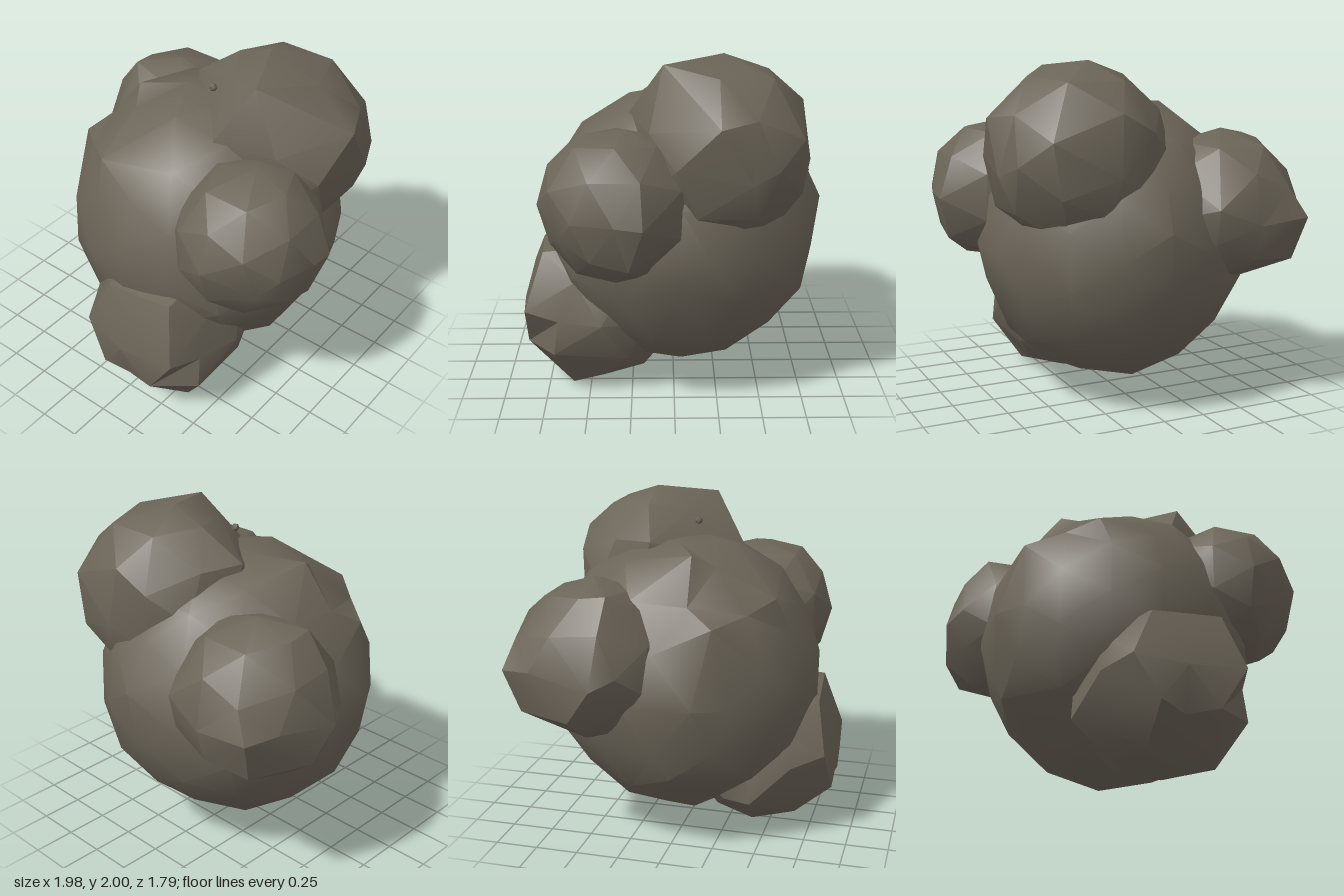
import * as THREE from 'three';
import { mergeVertices, toCreasedNormals } from 'three/addons/utils/BufferGeometryUtils.js';

// Small seeded random generator
function seeded(seed) {
  return () => {
    seed = (seed * 16807) % 2147483647;
    return seed / 2147483647;
  };
}

// Rough faceted boulder: a jittered icosphere with chosen corners pulled into place
function boulder(name, material, { center, radii, detail, jitter, seed, corners = [] }) {
  let geo = new THREE.IcosahedronGeometry(1, detail);
  geo.deleteAttribute('normal');
  geo.deleteAttribute('uv');
  geo = mergeVertices(geo, 1e-4);
  const pos = geo.attributes.position;
  const random = seeded(seed);
  const middle = new THREE.Vector3(...center);
  const size = new THREE.Vector3(...radii);
  const points = [];
  for (let i = 0; i < pos.count; i++) {
    const scale = 1 + (random() - 0.5) * jitter;
    points.push(new THREE.Vector3().fromBufferAttribute(pos, i).multiply(size).multiplyScalar(scale).add(middle));
  }

  // Each corner moves the closest vertex not yet used
  const used = new Set();
  for (const corner of corners) {
    const target = new THREE.Vector3(...corner);
    let best = -1;
    points.forEach((p, i) => {
      if (used.has(i)) return;
      if (best < 0 || p.distanceTo(target) < points[best].distanceTo(target)) best = i;
    });
    used.add(best);
    points[best].copy(target);
  }
  points.forEach((p, i) => pos.setXYZ(i, p.x, p.y, p.z));

  const mesh = new THREE.Mesh(toCreasedNormals(geo, 0.55), material);
  mesh.name = name;
  return mesh;
}

export function createModel() {
  const group = new THREE.Group();
  group.name = 'rock';
  const stone = new THREE.MeshStandardMaterial({ color: 0x6b6458 });
  stone.name = 'grey brown stone';

  const parts = {
    // Large central mass
    core: {
      center: [0, 0.94, -0.04], radii: [0.81, 0.83, 0.82], detail: 2, jitter: 0.04, seed: 71,
      corners: [
        [-0.8, 0.95, 0.2], [-0.4, 1.72, 0.1], [-0.71, 0.5, 0.05], [-0.33, 0.18, 0.1],
        [-0.3, 1.48, 0.56], [-0.67, 1.38, 0.28], [0.03, 1.1, -0.88], [0, 0.1, -0.05],
        [0.8, 0.8, -0.05],
      ],
    },
    // Lobe on the upper back
    topLobe: {
      center: [0.32, 1.46, -0.28], radii: [0.54, 0.54, 0.52], detail: 1, jitter: 0.02, seed: 23,
      corners: [
        [0.25, 2.0, -0.28], [0.39, 1.96, 0.06], [0.6, 1.92, -0.24], [0.84, 1.7, -0.24],
        [0.64, 1.6, -0.7], [0.84, 1.4, -0.41], [0.28, 1.4, -0.78], [0.25, 1.74, -0.73],
        [-0.2, 1.74, -0.2], [0.25, 1.66, 0.26],
      ],
    },
    // Lobe on the left front
    leftLobe: {
      center: [0.56, 1.22, 0.32], radii: [0.43, 0.44, 0.44], detail: 1, jitter: 0.01, seed: 37,
      corners: [
        [0.99, 1.2, 0.17], [0.82, 1.1, 0.62], [0.56, 1.64, 0.27], [0.92, 0.95, 0.25],
        [0.62, 0.8, 0.4],
      ],
    },
    // Lobe at the bottom front
    bottomLobe: {
      center: [0.08, 0.48, 0.42], radii: [0.48, 0.48, 0.48], detail: 1, jitter: 0.01, seed: 59,
      corners: [
        [0.34, 0.03, 0.6], [0.1, 0, 0.42], [-0.42, 0.27, 0.45], [0.43, 0.52, 0.87],
        [0.27, 0.27, 0.87], [-0.07, 0.28, 0.88], [-0.21, 0.53, 0.85], [0.5, 0.28, 0.7],
        [-0.08, 0.82, 0.79], [0.34, 0.86, 0.76],
      ],
    },
    // Lobe on the right back
    rightLobe: {
      center: [-0.52, 1.14, -0.43], radii: [0.47, 0.46, 0.47], detail: 1, jitter: 0.01, seed: 83,
      corners: [
        [-0.85, 1.12, -0.86], [-0.53, 1.1, -0.89], [-0.99, 1.08, -0.31], [-0.91, 1.35, -0.55],
        [-0.76, 1.55, -0.28], [-0.95, 0.88, -0.45], [-0.78, 0.74, -0.4], [-0.8, 0.87, -0.78],
        [-0.28, 1.2, -0.85],
      ],
    },
    // Tiny chip lying on top
    pebble: { center: [0.07, 1.83, 0.02], radii: [0.025, 0.025, 0.025], detail: 0, jitter: 0.2, seed: 5 },
  };

  for (const [name, part] of Object.entries(parts)) group.add(boulder(name, stone, part));
  return group;
}
